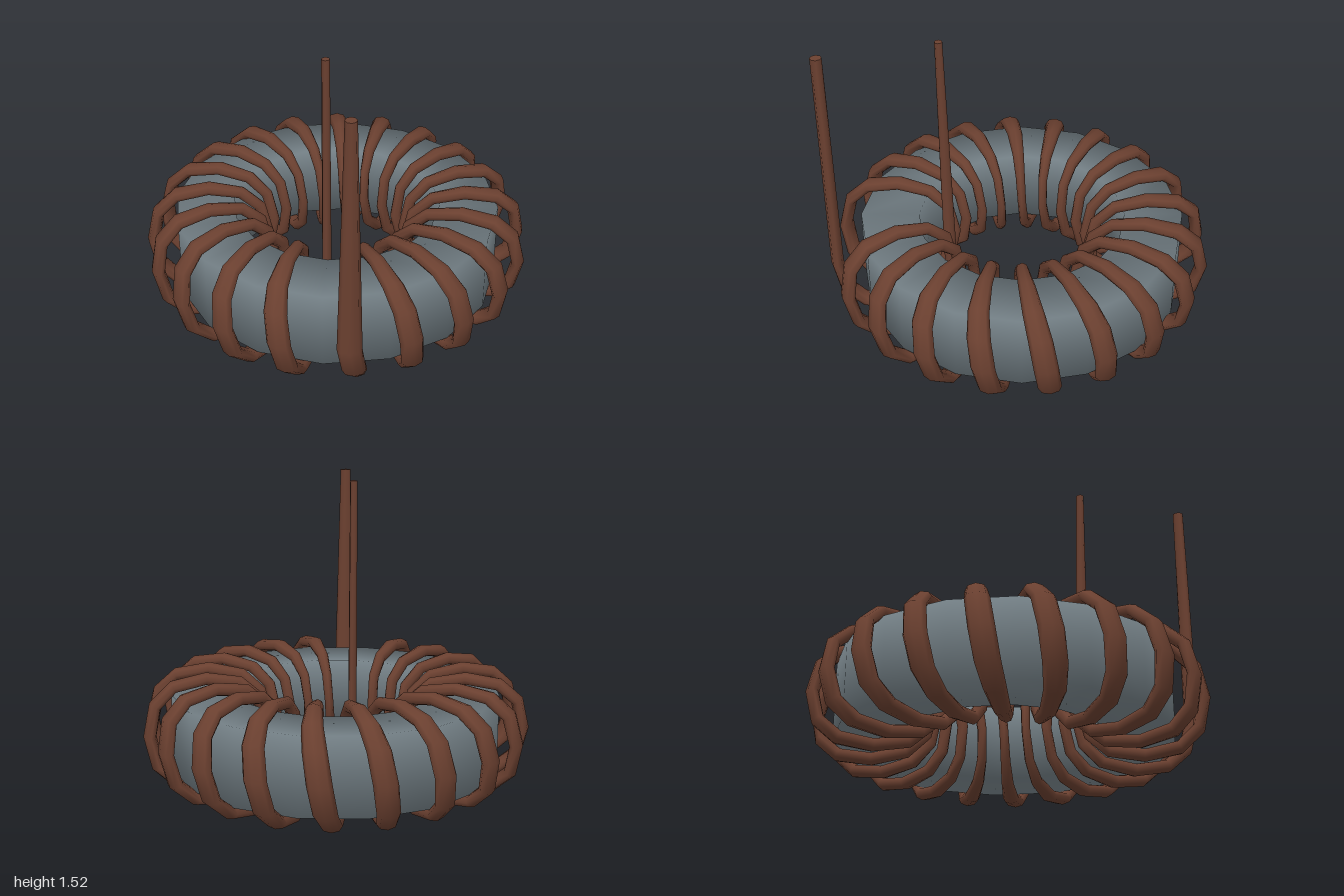
import * as THREE from 'three';
import { mergeVertices } from 'three/addons/utils/BufferGeometryUtils.js';

const rad = THREE.MathUtils.degToRad;

// Ring core: rectangular section, 16 sides, welded for soft shading
function coreGeometry() {
  const inner = 0.54, outer = 0.845, low = 0.1, high = 0.5;
  const profile = [[inner, low], [outer, low], [outer, high], [inner, high], [inner, low]]
    .map(([r, y]) => new THREE.Vector2(r, y));
  const lathe = new THREE.LatheGeometry(profile, 16);
  lathe.deleteAttribute('uv');
  lathe.deleteAttribute('normal');
  const geometry = mergeVertices(lathe);
  geometry.computeVertexNormals();
  return geometry;
}

// Wire path in polar form: angle, radius, height, tangential half width (as an angle), in-plane half width
function wirePath() {
  const turns = 19.5, steps = 12, pitch = rad(17.9), start = rad(8.2);
  const round = (v) => Math.sign(v) * Math.pow(Math.abs(v), 0.82);
  const path = [{ angle: start, r: 0.968, y: 1.52, w: 0.029, h: 0.029 }];
  for (let i = 0; i <= turns * steps; i++) {
    const t = (i / steps) * Math.PI * 2;
    path.push({
      angle: start + pitch * (i / steps),
      r: 0.67 + 0.297 * round(Math.cos(t)),
      y: 0.3 - 0.267 * round(Math.sin(t)),
      w: 0.063,
      h: 0.033,
    });
  }
  const last = path[path.length - 1];
  path.push({ angle: last.angle, r: 0.39, y: 1.52, w: 0.052, h: 0.02 });
  return path;
}

// Sweep an eight-sided section along the path; width grows with distance from the axis
function wireGeometry() {
  const path = wirePath(), sides = 8, positions = [], index = [];
  path.forEach((p, i) => {
    const a = path[Math.max(i - 1, 0)], b = path[Math.min(i + 1, path.length - 1)];
    // Average the directions of the two neighbouring segments
    const dir = new THREE.Vector2();
    if (i > 0) dir.add(new THREE.Vector2(p.r - a.r, p.y - a.y).normalize());
    if (i < path.length - 1) dir.add(new THREE.Vector2(b.r - p.r, b.y - p.y).normalize());
    dir.normalize();
    for (let j = 0; j < sides; j++) {
      const s = (j / sides) * Math.PI * 2;
      const r = p.r - dir.y * p.h * Math.cos(s);
      const y = p.y + dir.x * p.h * Math.cos(s);
      const angle = p.angle + p.w * Math.sin(s);
      positions.push(r * Math.sin(angle), y, r * Math.cos(angle));
    }
  });
  for (let i = 0; i < path.length - 1; i++) {
    for (let j = 0; j < sides; j++) {
      const a = i * sides + j, b = i * sides + (j + 1) % sides;
      index.push(a, a + sides, b, b, a + sides, b + sides);
    }
  }
  // Flat caps on both lead tips
  const addCap = (ring, flip) => {
    const base = positions.length / 3;
    positions.push(...positions.slice(ring * sides * 3, (ring + 1) * sides * 3));
    for (let j = 1; j < sides - 1; j++) {
      if (flip) index.push(base, base + j + 1, base + j);
      else index.push(base, base + j, base + j + 1);
    }
  };
  addCap(0, false);
  addCap(path.length - 1, true);

  const geometry = new THREE.BufferGeometry();
  geometry.setAttribute('position', new THREE.Float32BufferAttribute(positions, 3));
  geometry.setIndex(index);
  geometry.computeVertexNormals();
  return geometry;
}

export function createModel() {
  const group = new THREE.Group();
  group.name = 'toroidalCoil';

  const coreGrey = new THREE.MeshStandardMaterial({ color: 0x727e84 });
  coreGrey.name = 'coreGrey';
  const copperBrown = new THREE.MeshStandardMaterial({ color: 0x6b4030 });
  copperBrown.name = 'copperBrown';

  const core = new THREE.Mesh(coreGeometry(), coreGrey);
  core.name = 'ringCore';
  core.position.z = -0.013;

  const wire = new THREE.Mesh(wireGeometry(), copperBrown);
  wire.name = 'wireWindingWithLeads';

  group.add(core, wire);
  return group;
}
